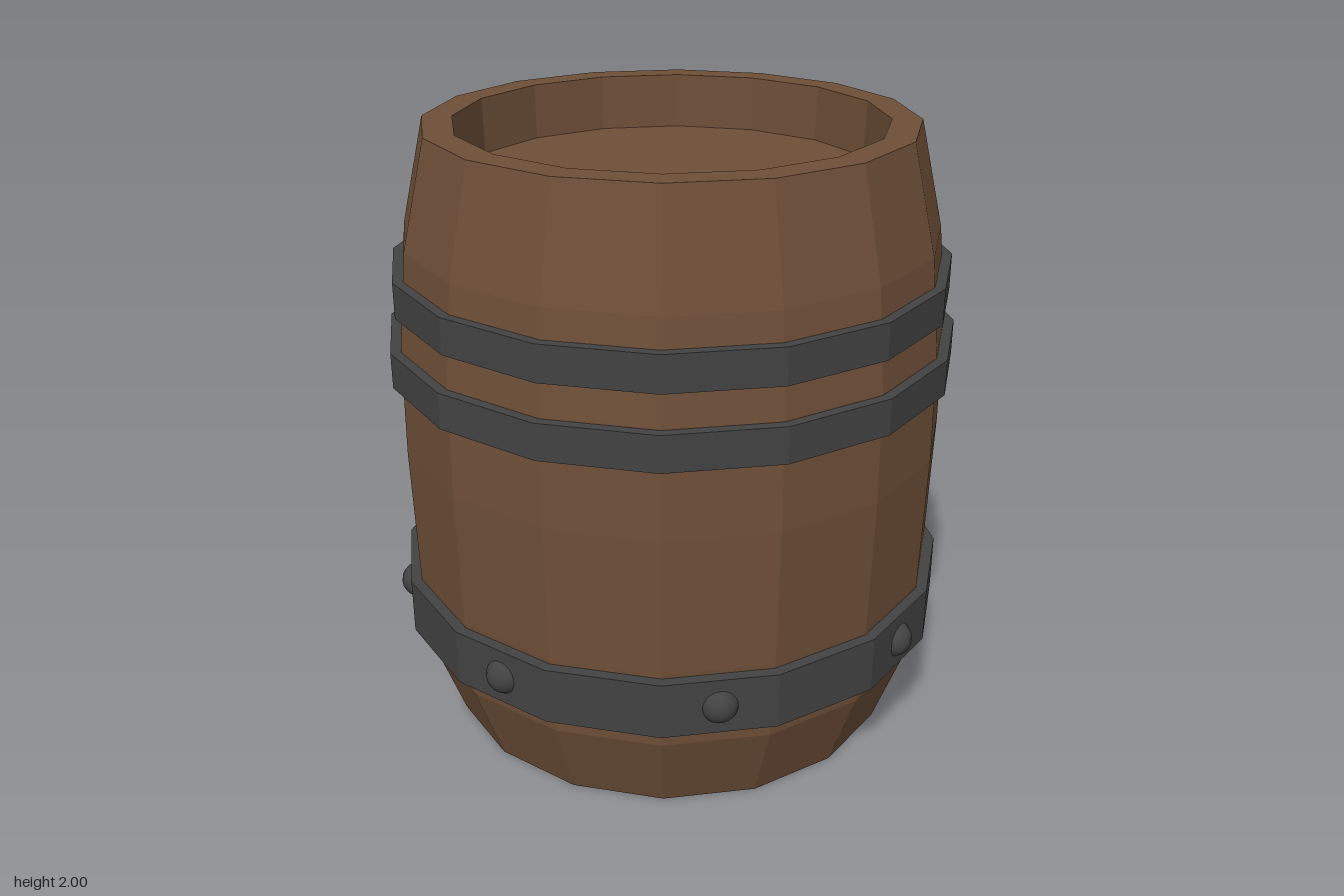
import * as THREE from 'three';

const SIDES = 16;

// Faceted solid of revolution from [radius, height] pairs, listed bottom to top on the outside
function turned(name, profile, material) {
  const points = profile.map(([r, y]) => new THREE.Vector2(r, y));
  const mesh = new THREE.Mesh(new THREE.LatheGeometry(points, SIDES), material);
  mesh.name = name;
  return mesh;
}

export function createModel() {
  const wood = new THREE.MeshStandardMaterial({ color: 0x6e4f38, flatShading: true });
  const iron = new THREE.MeshStandardMaterial({ color: 0x424242, flatShading: true });
  const rivetIron = new THREE.MeshStandardMaterial({ color: 0x424242 });

  const barrel = new THREE.Group();
  barrel.name = 'barrel';

  // Bulging staves, flat rim and recessed lid in one closed profile
  barrel.add(turned('staves', [
    [0, 0], [0.76, 0], [0.86, 0.28], [0.88, 0.55], [0.892, 1.0],
    [0.887, 1.35], [0.855, 1.66], [0.775, 2], [0.68, 2], [0.675, 1.82], [0, 1.82],
  ], wood));

  // Iron hoops: name, bottom, top, outer radius
  const hoops = [
    ['lowerHoop', 0.35, 0.535, 0.915],
    ['middleHoop', 1.23, 1.345, 0.92],
    ['upperHoop', 1.455, 1.57, 0.897],
  ];
  for (const [name, y0, y1, r] of hoops) {
    const inner = r - 0.05;
    barrel.add(turned(name, [[inner, y0], [r, y0], [r, y1], [inner, y1], [inner, y0]], iron));
  }

  // Rivets on every other face of the lower hoop; the one at the back is driven in deeper
  const rivetGeometry = new THREE.SphereGeometry(0.06, 16, 12);
  const rivets = new THREE.Group();
  rivets.name = 'rivets';
  for (let i = 0; i < 8; i++) {
    const angle = Math.PI / 16 + (i * Math.PI) / 4;
    const radius = i === 6 ? 0.848 : 0.875;
    const rivet = new THREE.Mesh(rivetGeometry, rivetIron);
    rivet.name = 'rivet';
    rivet.position.set(radius * Math.cos(angle), 0.44, radius * Math.sin(angle));
    rivets.add(rivet);
  }
  barrel.add(rivets);

  return barrel;
}
